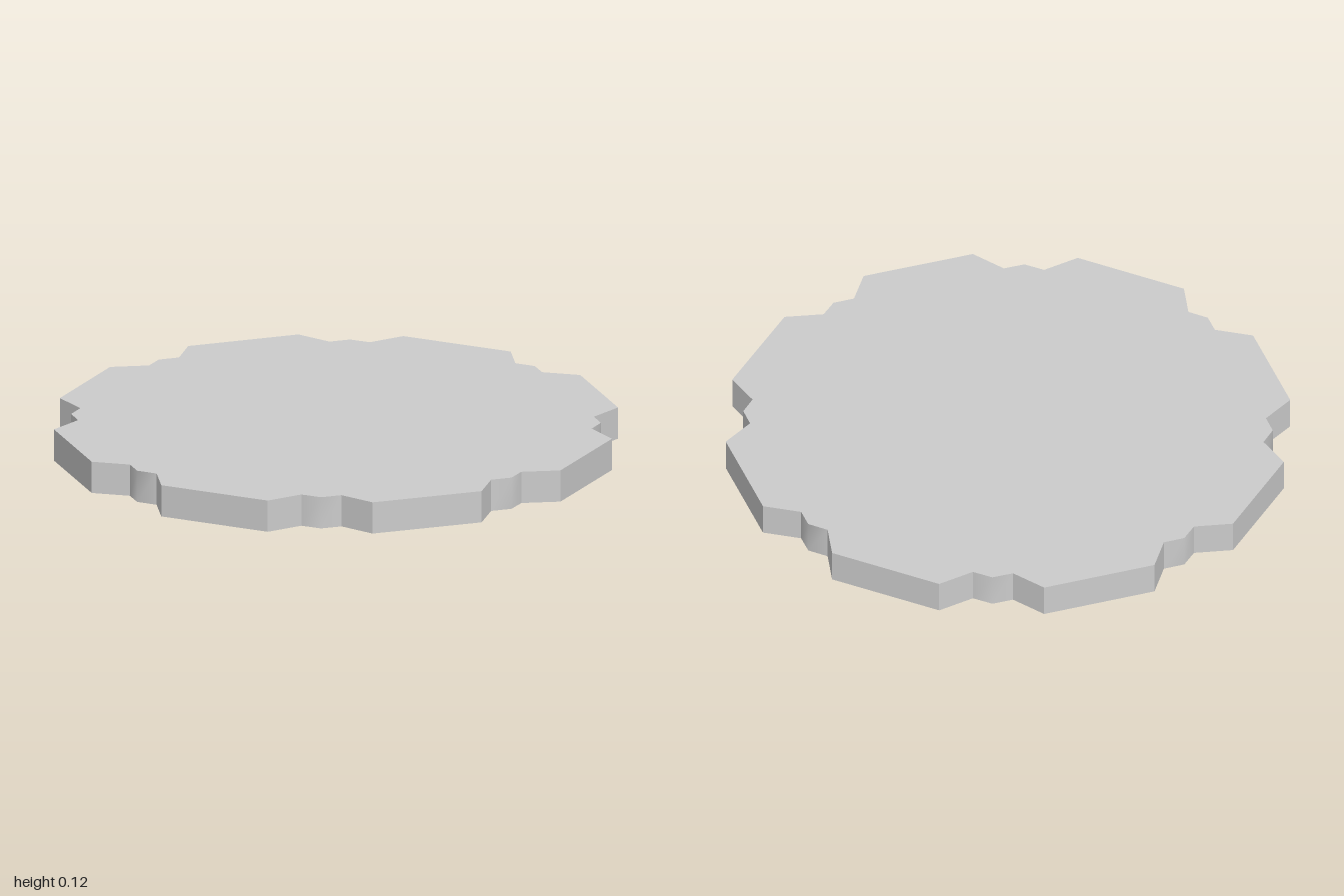
import * as THREE from 'three';
import { toCreasedNormals } from 'three/addons/utils/BufferGeometryUtils.js';

export function createModel() {
  const group = new THREE.Group();
  const height = 0.117;
  const material = new THREE.MeshStandardMaterial({ color: 0xcccccc, side: THREE.DoubleSide });

  function addPart(name, geometry) {
    const mesh = new THREE.Mesh(geometry, material);
    mesh.name = name;
    group.add(mesh);
  }

  // One notch with a small central bump, repeated around the rim with slight turns (degrees)
  const notch = [[0.188, 1], [0.072, 0.92], [0, 0.949], [-0.072, 0.92], [-0.188, 1]]
    .map(([x, y]) => new THREE.Vector2(x, y));
  const turns = [0.5, 0.35, 0, 0.3, 0, 0.3, 0, 0.5];
  const centre = new THREE.Vector2();
  const outline = turns.flatMap((turn, i) => {
    const angle = THREE.MathUtils.degToRad(i * 45 + turn);
    return notch.map((p) => p.clone().rotateAround(centre, angle));
  });

  // Flat top sheet
  const top = new THREE.ShapeGeometry(new THREE.Shape(outline));
  top.rotateX(-Math.PI / 2).translate(0, height, 0);
  addPart('topPlate', top);

  // Thin rim wall, open underneath; only the bump tips are shaded smoothly
  const positions = [];
  outline.forEach((a, i) => {
    const b = outline[(i + 1) % outline.length];
    positions.push(
      a.x, 0, -a.y, b.x, 0, -b.y, b.x, height, -b.y,
      a.x, 0, -a.y, b.x, height, -b.y, a.x, height, -a.y
    );
  });
  const wall = new THREE.BufferGeometry();
  wall.setAttribute('position', new THREE.Float32BufferAttribute(positions, 3));
  addPart('rimWall', toCreasedNormals(wall, 0.87));

  return group;
}
